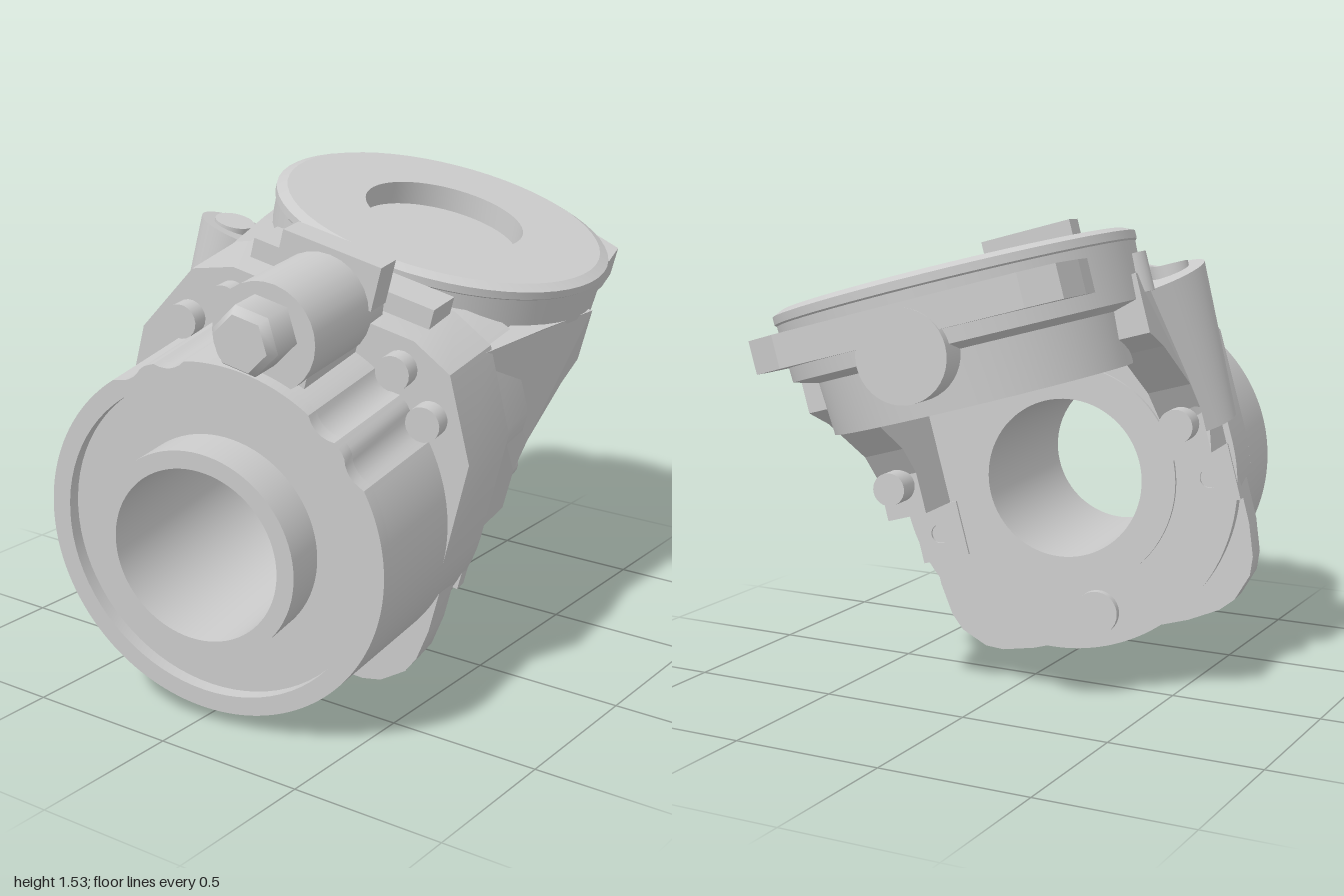
import * as THREE from 'three';
import { toCreasedNormals } from 'three/addons/utils/BufferGeometryUtils.js';

const material = new THREE.MeshStandardMaterial({ color: 0xcccccc });
const V = (x, y) => new THREE.Vector2(x, y);
const poly = (pts) => new THREE.Shape(pts.map((p) => V(p[0], p[1])));

export function createModel() {
  const model = new THREE.Group();
  // The whole joint leans: barrel axis = local x, turntable axis = local y
  const joint = new THREE.Group();
  joint.name = 'joint';
  joint.rotation.set(0.268, 0.169, 0);
  joint.position.set(-0.18, 0.635, -0.02);
  model.add(joint);

  const add = (name, geo, x = 0, y = 0, z = 0) => {
    const mesh = new THREE.Mesh(geo, material);
    mesh.name = name;
    mesh.position.set(x, y, z);
    joint.add(mesh);
    return mesh;
  };
  const box = (name, sx, sy, sz, x, y, z) => add(name, new THREE.BoxGeometry(sx, sy, sz), x, y, z);
  const extrude = (shape, depth) =>
    new THREE.ExtrudeGeometry(shape, { depth, bevelEnabled: false, curveSegments: 40 });
  // Section in the y-z plane, extruded from x0 to x1
  const alongX = (shape, x0, x1) =>
    toCreasedNormals(extrude(shape, x1 - x0).rotateY(Math.PI / 2).translate(x0, 0, 0), 0.5);
  const rodX = (name, r0, r1, x0, x1, y, z, sides = 28) =>
    add(name, new THREE.CylinderGeometry(r1, r0, x1 - x0, sides).rotateZ(-Math.PI / 2), (x0 + x1) / 2, y, z);
  const lathe = (pts) =>
    toCreasedNormals(new THREE.LatheGeometry(pts.map((p) => V(p[0], p[1])), 56), 0.3);
  const bore = (shape, r) => {
    shape.holes.push(new THREE.Path().absarc(0, 0, r, 0, Math.PI * 2, true));
    return shape;
  };

  // Barrel section with scooped channels for the flange screws
  const screws = [[0.57, 0.29], [0.455, 0.42]];
  const channelAngles = screws.flatMap(([y, z]) => [Math.atan2(y, z), Math.PI - Math.atan2(y, z)]);
  const barrelSection = () => {
    const pts = [];
    for (let i = 0; i < 200; i++) {
      const a = (i / 200) * Math.PI * 2;
      let r = 0.56;
      for (const c of channelAngles) {
        const d = a - c, s = 0.63 * Math.sin(d);
        if (Math.cos(d) > 0 && Math.abs(s) < 0.09)
          r = Math.min(r, 0.63 * Math.cos(d) - Math.sqrt(0.0081 - s * s));
      }
      pts.push([Math.cos(a) * r, Math.sin(a) * r]);
    }
    return poly(pts);
  };
  // Slight draft: the barrel widens towards the flange
  const draft = (geo) => {
    const p = geo.attributes.position;
    for (let i = 0; i < p.count; i++) {
      const k = 1 + 0.08 * (p.getX(i) + 0.685);
      p.setXYZ(i, p.getX(i), p.getY(i) * k, p.getZ(i) * k);
    }
    return geo;
  };
  add('barrelRim', draft(alongX(bore(barrelSection(), 0.5), -0.685, -0.64)));
  add('barrel', draft(alongX(bore(barrelSection(), 0.3), -0.64, -0.28)));

  // Flange: round below, shouldered above
  const flange = new THREE.Shape();
  flange.moveTo(0.56, 0);
  flange.absarc(0, 0, 0.56, 0, Math.PI, true);
  for (const [z, y] of [[-0.555, 0.35], [-0.43, 0.59], [-0.3, 0.645], [0.3, 0.645], [0.43, 0.59], [0.555, 0.35]])
    flange.lineTo(z, y);
  flange.closePath();
  add('flange', draft(alongX(bore(flange, 0.3), -0.28, 0)));

  // One straight sleeve through the whole barrel, and the ring on its near face
  const circle = (r) => new THREE.Shape().absarc(0, 0, r, 0, Math.PI * 2);
  add('bearingSleeve', alongX(bore(circle(0.325), 0.27), -0.785, 0.005));
  add('faceRing', alongX(bore(circle(0.385), 0.27), -0.01, 0.015));
  rodX('facePlug', 0.075, 0.075, -0.02, 0.03, -0.47, 0);

  // Motor boss with hexagonal cap, and stop blocks on top
  rodX('motorBoss', 0.165, 0.165, -0.64, -0.2, 0.665, 0);
  box('bossWeb', 0.36, 0.2, 0.28, -0.42, 0.55, 0);
  rodX('hexCap', 0.105, 0.105, -0.75, -0.6, 0.69, 0, 6);
  rodX('hexCapTip', 0.085, 0.105, -0.78, -0.75, 0.69, 0, 6);
  box('rearStopBlock', 0.1, 0.14, 0.33, -0.25, 0.78, 0);
  box('frontStopBlock', 0.15, 0.09, 0.62, -0.1, 0.69, 0);

  // Turntable: recessed plate over a hollow stepped skirt
  add('turntable', lathe([
    [0, -0.14], [0.43, -0.14], [0.43, -0.405], [0.47, -0.405], [0.48, -0.24], [0.555, -0.22],
    [0.562, -0.045], [0.568, -0.04], [0.568, -0.015], [0.535, 0], [0.27, 0], [0.27, -0.08], [0, -0.08],
  ]), 0.58, 0.745, 0);

  // End ear plate of the turntable
  const ear = poly([
    [0.84, 0.5], [0.93, 0.5], [1.08, 0.48], [1.13, 0.38], [1.15, 0], [1.13, -0.38],
    [1.08, -0.48], [0.93, -0.5], [0.84, -0.5], [0.87, -0.42], [1.01, -0.2], [1.01, 0.2], [0.87, 0.42],
  ]);
  add('earPlate', extrude(ear, 0.1).rotateX(Math.PI / 2), 0, 0.67, 0);
  rodX('pivotShaft', 0.138, 0.137, 0.5, 1.15, 0.522, 0, 40);
  add('rimStud', new THREE.CylinderGeometry(0.05, 0.05, 0.12, 20), 0.53, 0.6, -0.54);

  // Arched roof joining flange and turntable
  const arch = poly([
    [-0.57, 0.3], [-0.57, 0.37], [-0.44, 0.61], [-0.31, 0.65], [0.31, 0.65], [0.44, 0.61],
    [0.57, 0.37], [0.57, 0.3], [0.45, 0.3], [0.36, 0.5], [-0.36, 0.5], [-0.45, 0.3],
  ]);
  add('elbowRoof', alongX(arch, -0.02, 0.2));
  box('elbowCrossbar', 0.14, 0.12, 0.36, 0.07, 0.38, 0);

  // Side arm: x-y profile whose outer face leans in towards the top of the flange
  const armProfile = poly([
    [-0.05, 0], [0.23, 0], [0.23, 0.14], [0.29, 0.23], [0.5, 0.37],
    [0.62, 0.42], [0.62, 0.6], [0.3, 0.61], [-0.05, 0.61], [-0.05, 0.37],
  ]);
  const sideArm = (s) => {
    const geo = extrude(armProfile, 1);
    const p = geo.attributes.position;
    for (let i = 0; i < p.count; i++) {
      const lean = 0.44 * Math.max(0, p.getY(i) - 0.37) * Math.max(0, 1 - p.getX(i) / 0.6);
      const w = s > 0 ? p.getZ(i) : 1 - p.getZ(i);
      p.setZ(i, s * (0.43 + w * (0.14 - lean)));
    }
    geo.computeVertexNormals();
    return geo;
  };
  const pad = bore(poly([[-0.085, -0.09], [0.085, -0.09], [0.085, 0.1], [-0.085, 0.1]]), 0.033);
  const lug = poly([[0.5, -0.3], [0.6, -0.2], [0.67, -0.11], [0.695, -0.05], [0.695, 0.05], [0.67, 0.11], [0.6, 0.2], [0.5, 0.3]]);
  for (const s of [1, -1]) {
    add('sideArm', sideArm(s));
    rodX('armPin', 0.055, 0.055, 0.2, 0.325, 0.11, s * 0.5);
    add('threadedPad', alongX(pad, -0.04, 0.01), 0, -0.1, s * 0.49);
    add('lowerLug', alongX(lug, -0.19, -0.07)).rotation.x = Math.PI * (s > 0 ? -0.75 : -0.25);

    // Flange screws in their channels
    for (const [y, z] of screws) rodX('flangeScrew', 0.055, 0.055, -0.34, -0.26, y, s * z, 20);

    // Cap screws hanging inside the skirt
    for (let i = 0; i < 6; i++) {
      const a = s * (0.65 + i * 0.34);
      add('capScrew', new THREE.CylinderGeometry(0.05, 0.05, 0.2, 16),
        0.58 + Math.cos(a) * 0.36, 0.52, Math.sin(a) * 0.36);
    }
  }

  // Tapered, leaning column at the right side with a screw on top
  add('sideColumn', new THREE.CylinderGeometry(0.165, 0.09, 0.5, 36), 0.17, 0.33, -0.54).rotation.set(0.08, 0, -0.2);
  add('columnScrew', new THREE.CylinderGeometry(0.065, 0.065, 0.05, 24), 0.18, 0.585, -0.56);
  return model;
}
